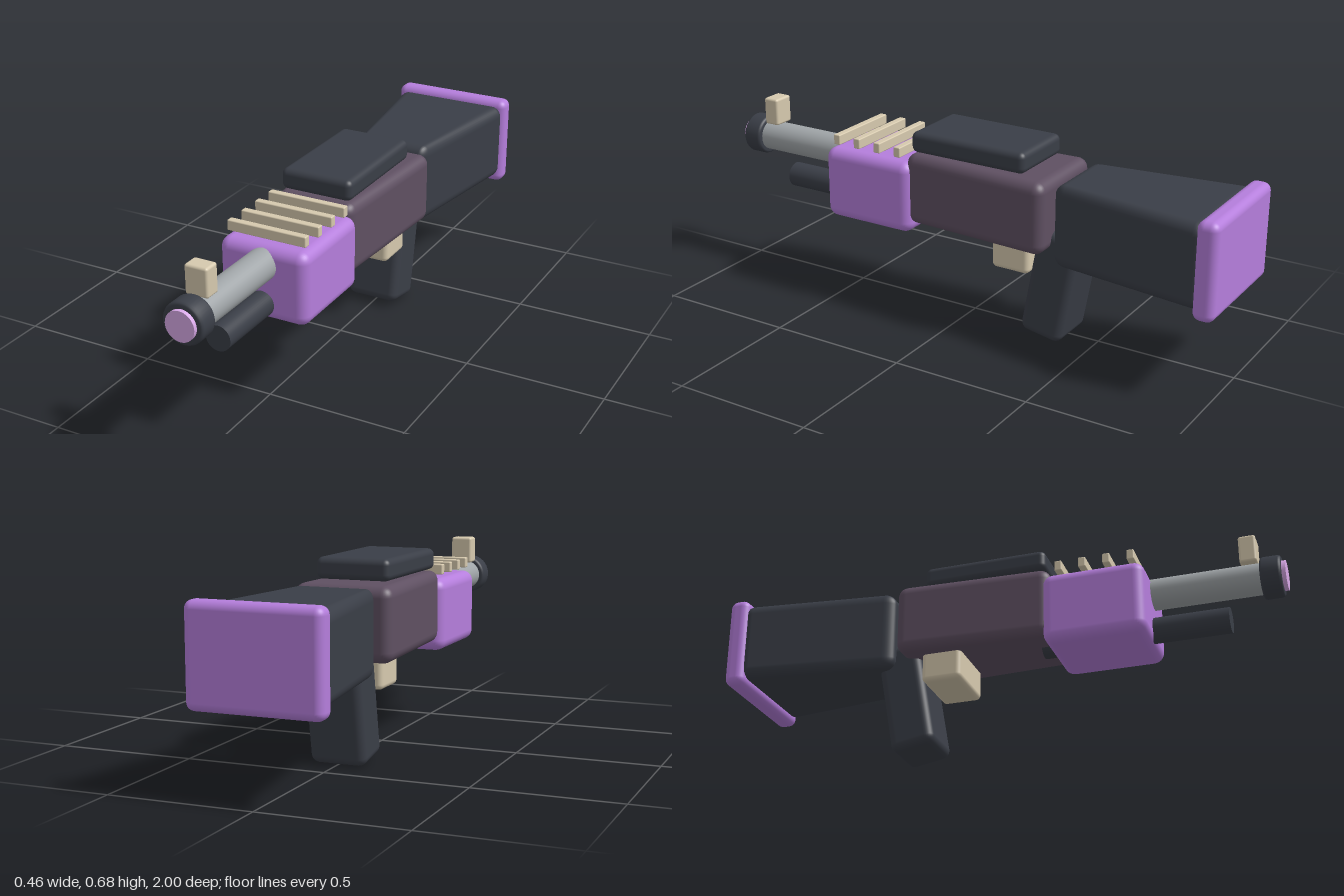
import * as THREE from 'three';
import { RoundedBoxGeometry } from 'three/addons/geometries/RoundedBoxGeometry.js';

const mat = (color) => new THREE.MeshStandardMaterial({ color });

export function createModel() {
  const model = new THREE.Group();
  const purple = mat(0xb57edc), dark = mat(0x3a3e47), plum = mat(0x5f5062);
  const tan = mat(0xd6c9ae), steel = mat(0xa0a5a8), glass = mat(0xd9a9e8);

  const add = (name, geometry, material) => {
    const mesh = new THREE.Mesh(geometry, material);
    mesh.name = name;
    model.add(mesh);
    return mesh;
  };

  // Rounded block centred on x, given half width and y/z ranges; the half width may differ front to back
  const block = (name, material, halfBack, [y0, y1], [z0, z1], radius, halfFront = halfBack) => {
    const depth = z1 - z0;
    const geo = new RoundedBoxGeometry(halfBack * 2, y1 - y0, depth, 4, radius);
    if (halfFront !== halfBack) {
      const p = geo.attributes.position, n = geo.attributes.normal;
      const slope = (halfFront / halfBack - 1) / depth;
      for (let i = 0; i < p.count; i++) {
        const x = p.getX(i), s = 1 + slope * (p.getZ(i) + depth / 2);
        p.setX(i, x * s);
        // Matching normal for the tapered surface
        const v = new THREE.Vector3(n.getX(i) / s, n.getY(i), n.getZ(i) - n.getX(i) * x * slope / s).normalize();
        n.setXYZ(i, v.x, v.y, v.z);
      }
    }
    const mesh = add(name, geo, material);
    mesh.position.set(0, (y0 + y1) / 2, (z0 + z1) / 2);
    return mesh;
  };

  // Cylinder lying along z
  const rod = (name, material, radius, y, [z0, z1]) => {
    const geo = new THREE.CylinderGeometry(radius, radius, z1 - z0, 40).rotateX(Math.PI / 2);
    add(name, geo, material).position.set(0, y, (z0 + z1) / 2);
  };

  // Stock and butt
  block('buttPad', purple, 0.228, [0.28, 0.616], [-1, -0.925], 0.028);
  block('stock', dark, 0.22, [0.305, 0.597], [-0.95, -0.383], 0.04, 0.136);

  // Body
  block('receiver', plum, 0.178, [0.34, 0.597], [-0.36, 0.2], 0.038, 0.145);
  block('topCover', dark, 0.133, [0.602, 0.677], [-0.267, 0.182], 0.022);
  block('foreEnd', purple, 0.163, [0.302, 0.563], [0.175, 0.537], 0.038);

  // Grip slanting forward at the bottom, with the trigger block ahead of it
  const grip = block('grip', dark, 0.1, [0.005, 0.405], [-0.43, -0.27], 0.03);
  grip.rotation.x = -0.175;
  block('trigger', tan, 0.115, [0.238, 0.36], [-0.28, -0.135], 0.018);

  // Ribs across the fore end
  for (let i = 0; i < 4; i++) {
    const z = 0.233 + i * 0.086;
    block('rib', tan, 0.145, [0.577, 0.614], [z - 0.013, z + 0.013], 0.004);
  }

  // Barrel, lower tube and front sight
  rod('barrel', steel, 0.055, 0.5, [0.45, 0.95]);
  rod('lowerTube', dark, 0.045, 0.362, [0.14, 0.8]);
  rod('muzzleLens', glass, 0.052, 0.5, [0.93, 1]);
  block('frontSight', tan, 0.041, [0.555, 0.656], [0.846, 0.906], 0.009);

  // Muzzle ring with softened rims
  const ring = [[0.05, 0.914], [0.064, 0.914], [0.07, 0.917], [0.073, 0.924], [0.073, 0.976],
    [0.07, 0.983], [0.064, 0.986], [0.05, 0.986]].map(([r, z]) => new THREE.Vector2(r, z));
  add('muzzleRing', new THREE.LatheGeometry(ring, 40).rotateX(Math.PI / 2), dark).position.y = 0.5;

  return model;
}
